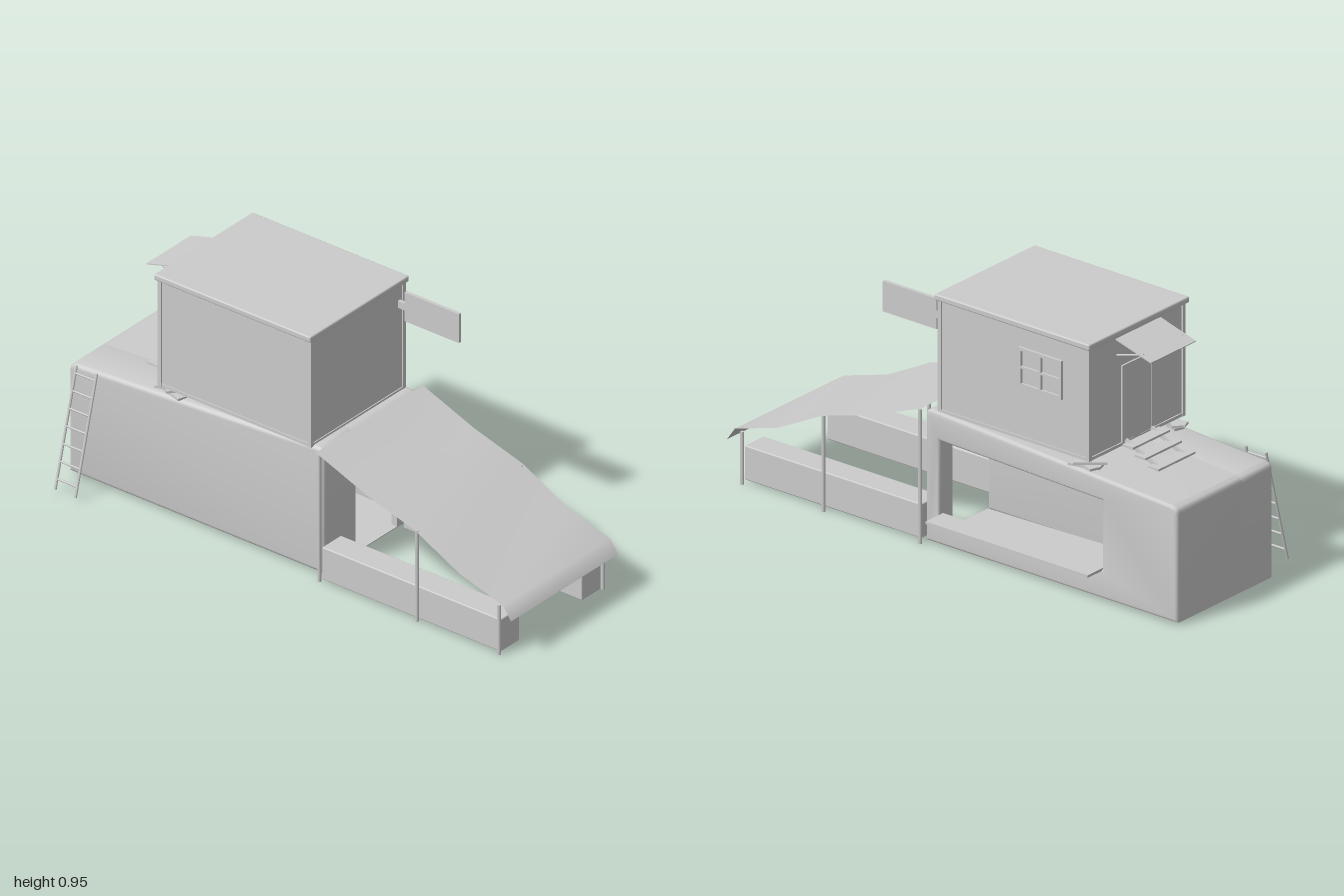
import * as THREE from 'three';
import { toCreasedNormals } from 'three/addons/utils/BufferGeometryUtils.js';
import { RoundedBoxGeometry } from 'three/addons/geometries/RoundedBoxGeometry.js';

const grey = new THREE.MeshStandardMaterial({ color: 0xcccccc });
const thin = new THREE.MeshStandardMaterial({ color: 0xcccccc, side: THREE.DoubleSide });

export function createModel() {
  const model = new THREE.Group();

  const add = (name, geometry, material = grey) => {
    const mesh = new THREE.Mesh(geometry, material);
    mesh.name = name;
    model.add(mesh);
    return mesh;
  };
  // box given by its limits on each axis
  const box = (name, x0, x1, y0, y1, z0, z1, round = 0) => {
    const size = [x1 - x0, y1 - y0, z1 - z0];
    const g = round ? new RoundedBoxGeometry(...size, 2, round) : new THREE.BoxGeometry(...size);
    const mesh = add(name, g);
    mesh.position.set((x0 + x1) / 2, (y0 + y1) / 2, (z0 + z1) / 2);
    return mesh;
  };
  // round bar between two points
  const bar = (name, a, b, r) => {
    const p = new THREE.Vector3(...a), q = new THREE.Vector3(...b);
    const mesh = add(name, new THREE.CylinderGeometry(r, r, p.distanceTo(q), 10));
    mesh.position.copy(p).add(q).multiplyScalar(0.5);
    mesh.quaternion.setFromUnitVectors(new THREE.Vector3(0, 1, 0), q.sub(p).normalize());
    return mesh;
  };
  // side profile (drawn in -z, y) extruded from x0 to x1
  const slab = (name, shape, x0, x1, bevel) => {
    const g = new THREE.ExtrudeGeometry(shape, {
      depth: x1 - x0 - 2 * bevel, bevelEnabled: bevel > 0, bevelThickness: bevel,
      bevelSize: bevel, bevelOffset: -bevel, bevelSegments: 3, curveSegments: 5,
    });
    g.translate(0, 0, x0 + bevel).rotateY(Math.PI / 2);
    return add(name, toCreasedNormals(g, 0.6));
  };
  // outline of the base, optionally with a room open to the front
  const baseProfile = (room) => {
    const s = new THREE.Shape();
    s.moveTo(-0.13, 0.01).lineTo(1, 0.01).lineTo(1, 0.42);
    s.quadraticCurveTo(1, 0.445, 0.97, 0.448);
    s.lineTo(-0.1, 0.51);
    s.quadraticCurveTo(-0.13, 0.512, -0.13, 0.485);
    if (room) {
      s.lineTo(-0.13, 0.37).lineTo(-0.11, 0.37).lineTo(-0.11, 0.43);
      s.lineTo(0.7, 0.43).lineTo(0.7, 0.035).lineTo(-0.13, 0.014);
    }
    s.closePath();
    return s;
  };

  // base: solid side, room in the middle, side wall with serving hatch
  slab('baseSolidSide', baseProfile(false), -0.23, -0.04, 0.015);
  slab('baseRoom', baseProfile(true), -0.06, 0.282, 0);
  const hatchWall = baseProfile(false);
  hatchWall.holes.push(new THREE.Path([[-0.07, 0.12], [-0.07, 0.4], [0.66, 0.38], [0.66, 0.12]]
    .map(p => new THREE.Vector2(...p))));
  slab('hatchWall', hatchWall, 0.262, 0.295, 0.012);
  box('doorwayWall', 0.18, 0.28, 0.012, 0.44, 0.105, 0.13);
  box('hatchShelf', 0.275, 0.37, 0.113, 0.123, -0.66, 0.068);

  // low walls and posts of the front terrace
  box('terraceWall', -0.26, -0.155, 0.01, 0.14, 0.15, 0.945, 0.005);
  box('terraceWall', 0.19, 0.295, 0.01, 0.14, 0.15, 0.945, 0.005);
  for (const x of [-0.262, 0.313])
    for (const [z, h] of [[0.94, 0.2], [0.575, 0.365], [0.14, 0.51]])
      bar('terracePost', [x, 0, z], [x, h, z], 0.007);

  // sagging canopy sheet
  const sag = [[0.13, 0.517], [0.36, 0.428], [0.575, 0.365], [0.77, 0.265], [0.965, 0.207], [1, 0.157]];
  const sheet = new THREE.PlaneGeometry(0.593, 1, 1, sag.length - 1);
  const pos = sheet.attributes.position;
  for (let i = 0; i < pos.count; i++) {
    const [z, y] = sag[i >> 1];
    pos.setXYZ(i, pos.getX(i) + 0.0265, y, z);
  }
  sheet.computeVertexNormals();
  add('canopy', sheet, thin);

  // cabin
  box('cabinWalls', -0.234, 0.28, 0.505, 0.935, -0.59, 0.08);
  box('cabinFloor', -0.238, 0.284, 0.505, 0.517, -0.595, 0.084);
  for (const x of [-0.24, 0.27])
    for (const z of [-0.597, 0.07])
      box('cabinCornerPost', x, x + 0.015, 0.505, 0.935, z, z + 0.015);
  box('cabinRoof', -0.25, 0.298, 0.931, 0.955, -0.607, 0.09, 0.006);

  // window with crossed bars
  const win = (y0, y1, z0, z1) => box('windowFrame', 0.275, 0.29, y0, y1, z0, z1);
  win(0.707, 0.719, -0.475, -0.28);
  win(0.843, 0.855, -0.475, -0.28);
  win(0.707, 0.855, -0.475, -0.463);
  win(0.707, 0.855, -0.292, -0.28);
  win(0.777, 0.785, -0.47, -0.285);
  win(0.71, 0.85, -0.382, -0.374);

  // back door with its frame
  box('door', -0.055, 0.095, 0.517, 0.8, -0.594, -0.585);
  box('doorFrame', -0.063, -0.055, 0.517, 0.808, -0.597, -0.585);
  box('doorFrame', 0.095, 0.103, 0.517, 0.808, -0.597, -0.585);
  box('doorFrame', -0.063, 0.103, 0.8, 0.808, -0.597, -0.585);

  // awning over the door
  const awning = box('awning', -0.105, 0.14, -0.002, 0.002, -0.083, 0.083);
  awning.position.set(0.0175, 0.898, -0.675);
  awning.rotation.x = -0.28;
  for (const x of [-0.09, 0.125])
    bar('awningBrace', [x, 0.855, -0.59], [x, 0.889, -0.71], 0.004);

  // hanging sign board
  box('signBoard', 0.247, 0.26, 0.802, 0.918, 0.11, 0.352);
  box('signBracket', 0.247, 0.26, 0.845, 0.872, 0.075, 0.115);

  // steps down from the door
  for (const [y, z] of [[0.514, -0.63], [0.489, -0.685], [0.464, -0.745]])
    box('stepTread', -0.085, 0.115, y - 0.004, y + 0.004, z - 0.024, z + 0.024);
  for (const x of [-0.055, 0.085]) {
    const stringer = box('stepStringer', x - 0.005, x + 0.005, -0.007, 0.007, -0.09, 0.09);
    stringer.position.set(x, 0.486, -0.68);
    stringer.rotation.x = -0.4;
  }

  // loose planks propping up the back corners of the cabin
  for (const cx of [-0.2, 0.26])
    [[0, 0.478, -0.56, 0.3], [0.01, 0.488, -0.57, -0.35], [0.005, 0.498, -0.585, 0.7]]
      .forEach(([dx, y, z, turn]) => {
        const plank = box('supportPlank', -0.02, 0.02, -0.0045, 0.0045, -0.06, 0.06);
        plank.position.set(cx + dx, y, z);
        plank.rotation.y = cx < 0 ? -turn : turn;
      });

  // leaning ladder
  const foot = [-0.368, 0.017], top = [-0.25, 0.46];
  for (const z of [-0.86, -0.95])
    bar('ladderRail', [...foot, z], [...top, z], 0.005);
  for (let i = 0; i < 7; i++) {
    const t = (i + 0.6) / 7;
    const x = foot[0] + (top[0] - foot[0]) * t, y = foot[1] + (top[1] - foot[1]) * t;
    bar('ladderRung', [x, y, -0.86], [x, y, -0.95], 0.004);
  }

  return model;
}
